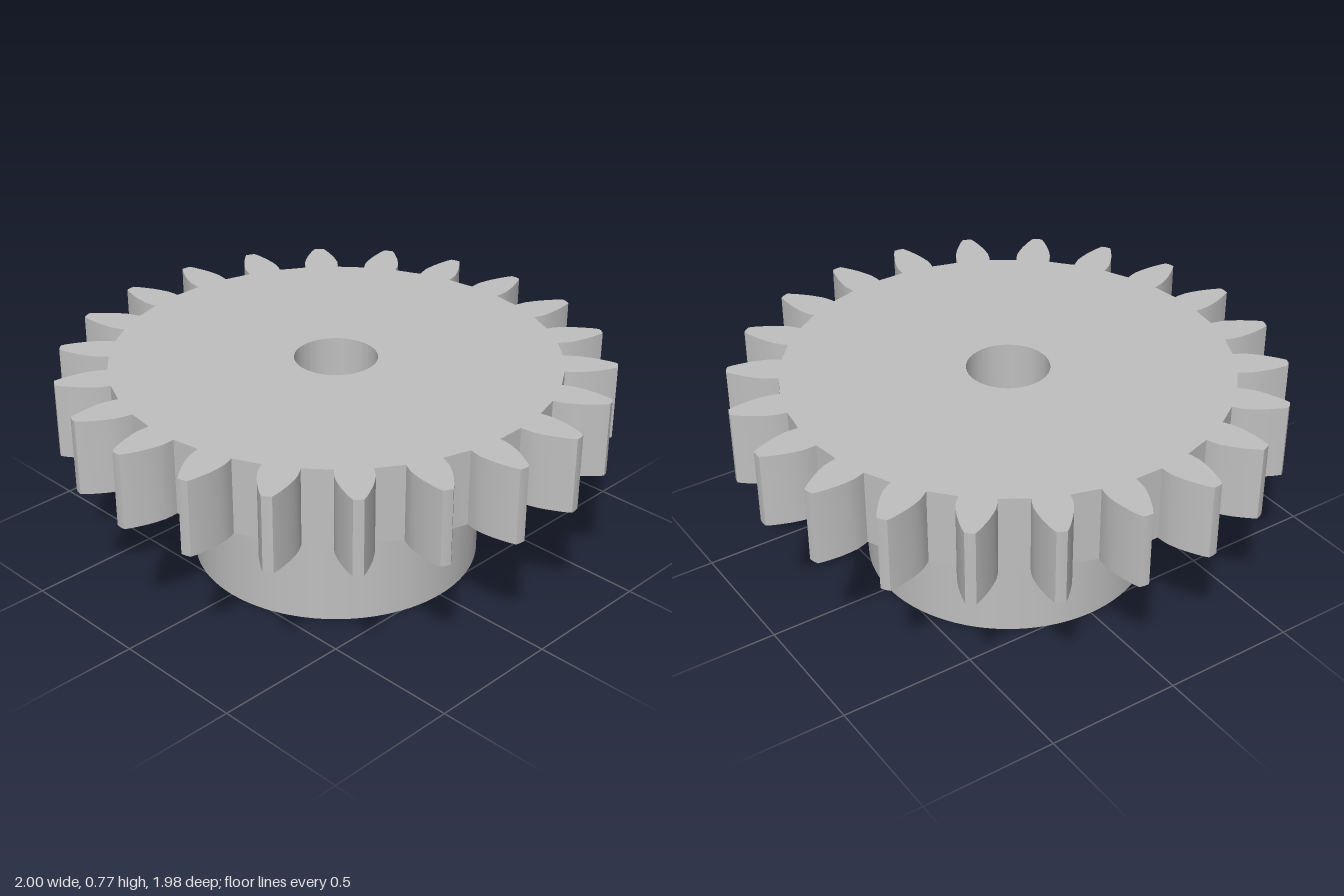
import * as THREE from 'three';
import { toCreasedNormals } from 'three/addons/utils/BufferGeometryUtils.js';

const TEETH = 22, ROOT = 0.81;
const BORE = 0.15, HUB = 0.53, HUB_TOP = 0.49, TOP = 0.77;
const HOLE_Y = 0.355, HOLE = 0.09, COUNTERBORE = 0.112, STEP_Z = 0.35;
const N = 64;

// Surface through closed loops of points; sign gives radial normals about the y axis
function loft(loops, sign = 0) {
  const pts = loops.flat(), index = [];
  for (let k = 0; k < loops.length - 1; k++) {
    for (let j = 0; j < N; j++) {
      const a = k * N + j, b = k * N + (j + 1) % N;
      index.push(a, a + N, b + N, a, b + N, b);
    }
  }
  const g = new THREE.BufferGeometry().setFromPoints(pts);
  g.setIndex(index);
  g.computeVertexNormals();
  if (sign) {
    pts.forEach((p, i) => {
      const r = Math.hypot(p.x, p.z) * sign;
      g.attributes.normal.setXYZ(i, p.x / r, 0, p.z / r);
    });
  }
  return g;
}

// Loop of points around the screw hole axis
function loop(f) {
  return Array.from({ length: N }, (_, j) => {
    const a = (j / N) * Math.PI * 2;
    return f(Math.cos(a), Math.sin(a));
  });
}
const flatLoop = (r, z) => loop((c, s) => new THREE.Vector3(r * c, HOLE_Y + r * s, z));

// Loops on a cylinder of radius R, blending from the hole to a rectangular patch
function patchLoops(R, r, w) {
  return [0, 0.25, 0.5, 0.75, 1].map(t => loop((c, s) => {
    const m = Math.max(Math.abs(c), Math.abs(s));
    const px = w * c / m, py = s / m * (s > 0 ? HUB_TOP - HOLE_Y : HOLE_Y);
    const x = THREE.MathUtils.lerp(r * c, px, t);
    const y = HOLE_Y + THREE.MathUtils.lerp(r * s, py, t);
    return new THREE.Vector3(x, y, Math.sqrt(R * R - x * x));
  }));
}

// Rest of the cylinder wall, leaving a gap of half-width w at the front
function wall(R, w, yA, yB) {
  const a = Math.asin(w / R);
  const pts = [new THREE.Vector2(R, yA), new THREE.Vector2(R, yB)];
  return new THREE.LatheGeometry(pts, 80, a, Math.PI * 2 - 2 * a);
}

function gearGeometry() {
  // Half-width of a tooth at each radius
  const flank = [[ROOT, 0.063], [0.83, 0.065], [0.86, 0.065], [0.89, 0.059],
    [0.92, 0.051], [0.95, 0.04], [0.975, 0.03], [0.998, 0.018]];
  const outline = [];
  const pitch = Math.PI * 2 / TEETH;
  for (let i = 0; i < TEETH; i++) {
    const a = i * pitch, c = Math.cos(a), s = Math.sin(a);
    const add = (r, h) => outline.push(new THREE.Vector2(r * c - h * s, r * s + h * c));
    flank.forEach(([r, h]) => add(r, -h));
    add(1, 0);
    [...flank].reverse().forEach(([r, h]) => add(r, h));
    const mid = a + pitch / 2;
    outline.push(new THREE.Vector2(ROOT * Math.cos(mid), ROOT * Math.sin(mid)));
  }
  const shape = new THREE.Shape(outline);
  shape.holes.push(new THREE.Path().absarc(0, 0, BORE, 0, Math.PI * 2, true));
  const g = new THREE.ExtrudeGeometry(shape, {
    depth: TOP - HUB_TOP, bevelEnabled: false, curveSegments: 64,
  });
  g.rotateX(-Math.PI / 2).translate(0, HUB_TOP, 0);
  return toCreasedNormals(g, 0.42);
}

export function createModel() {
  const metal = new THREE.MeshStandardMaterial({ color: 0xbfbfbf });
  metal.name = 'grey metal';
  const model = new THREE.Group();
  model.name = 'spurGear';
  const add = (name, geometry, parent) => {
    const mesh = new THREE.Mesh(geometry, metal);
    mesh.name = name;
    parent.add(mesh);
  };

  // Toothed disc
  add('toothedDisc', gearGeometry(), model);

  // Hub with its bore
  const hub = new THREE.Group();
  hub.name = 'hub';
  model.add(hub);
  const outer = patchLoops(HUB, COUNTERBORE, 0.2);
  const inner = patchLoops(BORE, HOLE, 0.12).reverse();
  add('hubWall', wall(HUB, 0.2, 0, HUB_TOP), hub);
  add('hubFront', loft(outer, 1), hub);
  add('boreWall', wall(BORE, 0.12, HUB_TOP, 0), hub);
  add('boreFront', loft(inner, -1), hub);
  add('hubBottom', new THREE.RingGeometry(BORE, HUB, 80).rotateX(Math.PI / 2), hub);

  // Stepped screw hole from the hub wall into the bore
  const hole = new THREE.Group();
  hole.name = 'screwHole';
  model.add(hole);
  const small = flatLoop(HOLE, STEP_Z), large = flatLoop(COUNTERBORE, STEP_Z);
  add('holeWall', loft([inner[inner.length - 1], small]), hole);
  add('holeStep', loft([small, large]), hole);
  add('counterboreWall', loft([large, outer[0]]), hole);
  return model;
}
